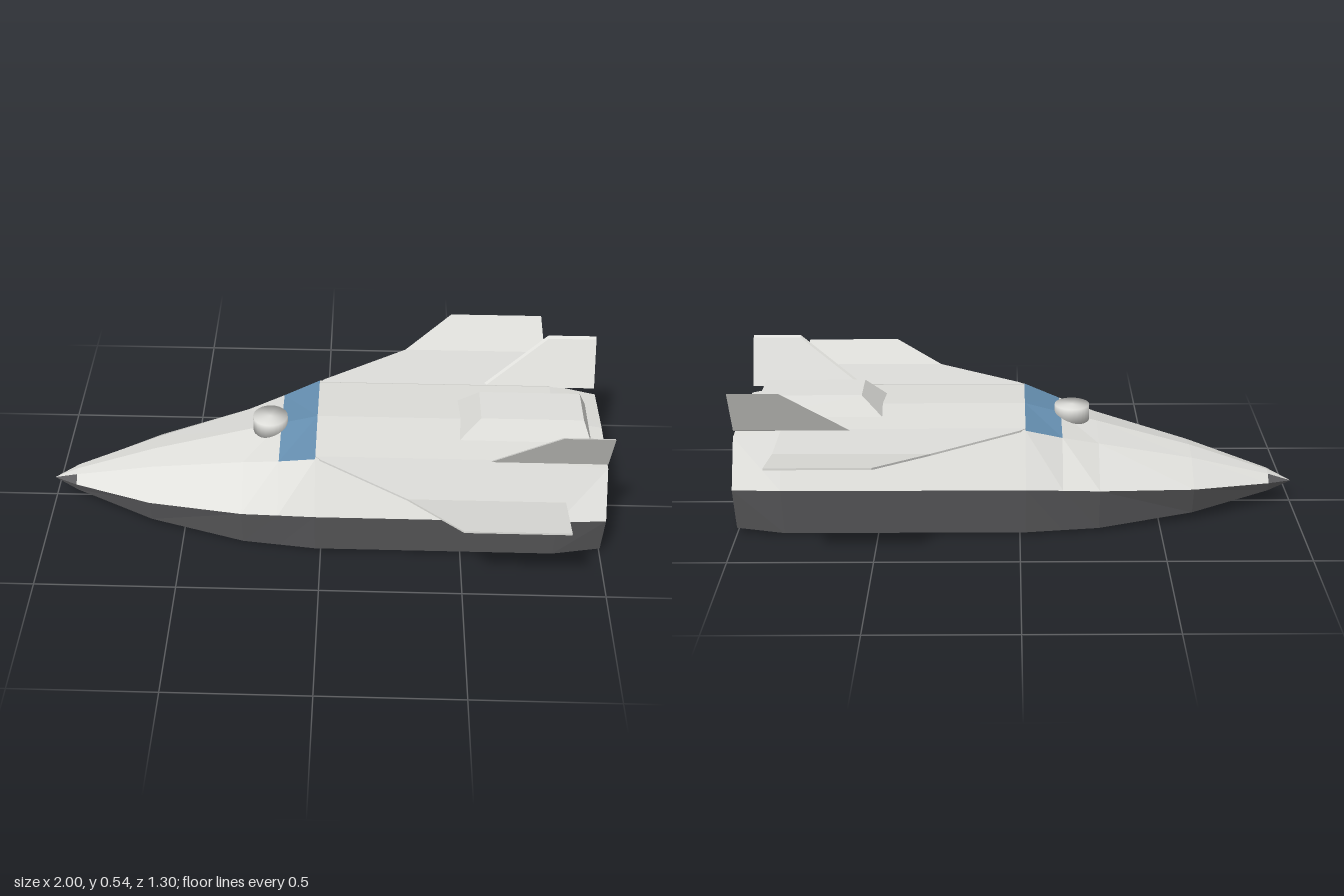
import * as THREE from 'three';
import { mergeVertices } from 'three/addons/utils/BufferGeometryUtils.js';
import { ConvexGeometry } from 'three/addons/geometries/ConvexGeometry.js';

const mat = (name, color, side = THREE.FrontSide) =>
  Object.assign(new THREE.MeshStandardMaterial({ color, side }), { name });

export function createModel() {
  const white = mat('hull white', 0xe0e0dc);
  const dark = mat('heat shield grey', 0x5e5e60);
  const blue = mat('window blue', 0x6791b3);
  const group = new THREE.Group();

  const add = (name, geometry, material) => {
    const mesh = new THREE.Mesh(geometry, material);
    mesh.name = name;
    group.add(mesh);
    return mesh;
  };
  // convex solid from corner points and the same points shifted by an offset
  const slab = (points, [ox, oy, oz], s = 1) => new ConvexGeometry(points.flatMap(([x, y, z]) => [
    new THREE.Vector3(x, y, z * s), new THREE.Vector3(x + ox, y + oy, (z + oz) * s)]));

  // hull stations: x, roof ridge y, shoulder z y, waist z y, keel z y
  const stations = [
    [-1.0, 0.08, 0, 0.08, 0, 0.08, 0, 0.08],
    [-0.91, 0.125, 0.03, 0.12, 0.06, 0.095, 0.045, 0.06],
    [-0.62, 0.225, 0.09, 0.21, 0.205, 0.135, 0.17, 0.03],
    [-0.28, 0.32, 0.16, 0.295, 0.3, 0.172, 0.26, 0.012],
    [-0.15, 0.353, 0.2, 0.333, 0.316, 0.182, 0.275, 0.011],
    [-0.02, 0.388, 0.238, 0.376, 0.33, 0.19, 0.29, 0.01],
    [0.83, 0.388, 0.238, 0.376, 0.33, 0.19, 0.29, 0.01],
    [1.0, 0.36, 0.222, 0.348, 0.315, 0.187, 0.27, 0.022],
  ];
  const section = ([x, ridge, sz, sy, wz, wy, kz, ky]) =>
    [[x, ridge, 0], [x, sy, sz], [x, wy, wz], [x, ky, kz], [x, ky, 0]];

  const faces = { white: [], dark: [], blue: [], rear: [] };
  const tri = (list, a, b, c, s) => {
    for (const p of s > 0 ? [a, b, c] : [a, c, b]) list.push(p[0], p[1], p[2] * s);
  };
  for (const s of [1, -1]) {
    for (let j = 0; j < stations.length - 1; j++) {
      const a = section(stations[j]), b = section(stations[j + 1]);
      for (let i = 0; i < 4; i++) {
        let colour = i < 2 ? 'white' : 'dark';
        if (j === 0 && i === 1) colour = 'dark'; // nose tip cheeks
        if (j === 4 && i === 0) colour = 'blue'; // windscreen band
        if (j > 0) tri(faces[colour], a[i + 1], b[i + 1], b[i], s);
        else tri(faces[colour], a[0], b[i + 1], b[i], s);
        if (j > 0) tri(faces[colour], a[i + 1], b[i], a[i], s);
      }
    }
    // rear bulkhead
    const end = section(stations[stations.length - 1]);
    for (let i = 0; i < 4; i++) tri(faces.rear, [1, 0.187, 0], end[i], end[i + 1], s);
  }
  const faceted = (list) => {
    const g = new THREE.BufferGeometry();
    g.setAttribute('position', new THREE.Float32BufferAttribute(list, 3));
    g.computeVertexNormals();
    return g;
  };
  add('upperHull', faceted(faces.white), white);
  add('lowerHull', faceted(faces.dark), dark);
  add('windscreen', faceted(faces.blue), blue);
  add('rearBulkhead', faceted(faces.rear), white);

  // wings and canted tail fins, mirrored across z
  for (const [side, s] of [['left', 1], ['right', -1]]) {
    add(side + 'WingInner', slab([[-0.02, 0.372, 0.225], [0, 0.372, 0.245], [0.3, 0.372, 0.45],
      [0.83, 0.372, 0.45], [0.83, 0.372, 0.225]], [0, 0.007, 0], s), white);
    add(side + 'WingTip', slab([[0.3, 0.372, 0.45], [0.48, 0.407, 0.65],
      [0.83, 0.407, 0.65], [0.83, 0.372, 0.45]], [0, 0.007, 0], s), white);
    add(side + 'Fin', slab([[0.59, 0.373, 0.225], [0.82, 0.538, 0.302],
      [0.995, 0.538, 0.302], [0.995, 0.373, 0.225]], [0, 0.006, 0.013].map((v, i) => i === 1 ? 0.006 : v), s), white);
  }

  // engine fairing on the rear deck
  const fairing = [];
  for (const s of [1, -1]) {
    for (const [x, y, z] of [[0.48, 0.376, 0.123], [0.95, 0.376, 0.125], [0.56, 0.45, 0.08], [0.92, 0.45, 0.08]])
      fairing.push(new THREE.Vector3(x, y, z * s));
  }
  add('engineFairing', new ConvexGeometry(fairing), white);

  // rounded-looking sensor drum ahead of the windscreen
  const drum = new THREE.CylinderGeometry(0.0625, 0.0625, 0.058, 24);
  drum.deleteAttribute('normal');
  drum.deleteAttribute('uv');
  const smoothDrum = mergeVertices(drum);
  smoothDrum.computeVertexNormals();
  add('sensorDrum', smoothDrum, white).position.set(-0.19, 0.356, 0);

  // body flap under the tail and exhaust port
  add('bodyFlap', slab([[0.9, 0.008, -0.21], [0.9, 0.008, 0.21], [1, 0, 0.21], [1, 0, -0.21]],
    [0, 0.012, 0]), dark);
  const port = add('exhaustPort', new THREE.CircleGeometry(0.05, 16), dark);
  port.rotation.y = Math.PI / 2;
  port.position.set(1.001, 0.2, 0);

  return group;
}
